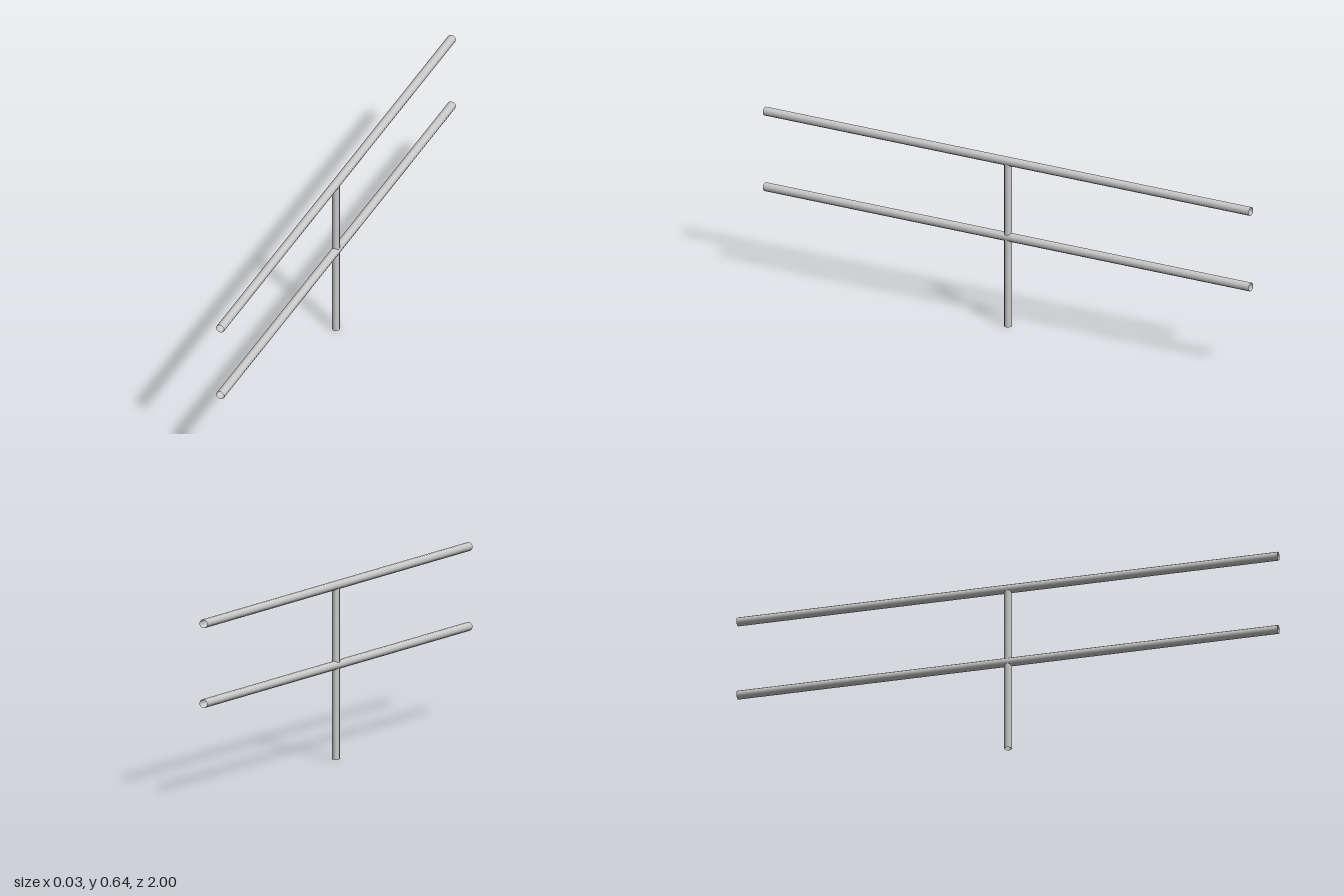
import * as THREE from 'three';

const material = new THREE.MeshStandardMaterial({ color: 0xcccccc, side: THREE.DoubleSide });

// Open-ended pipe standing along y, centred on the origin
function pipe(name, radius, length, sides) {
  const geometry = new THREE.CylinderGeometry(radius, radius, length, sides, 1, true);
  geometry.rotateY(Math.PI / 2);
  const mesh = new THREE.Mesh(geometry, material);
  mesh.name = name;
  return mesh;
}

export function createModel() {
  const model = new THREE.Group();
  model.name = 'railing';

  // Upright post, ending on the axis of the top rail
  const postHeight = 0.626;
  const post = pipe('post', 0.0138, postHeight, 10);
  post.position.y = postHeight / 2;
  model.add(post);

  // Two long horizontal rails running front to back
  for (const [name, y] of [['topRail', 0.626], ['middleRail', 0.339]]) {
    const rail = pipe(name, 0.016, 2, 10);
    rail.rotation.x = Math.PI / 2;
    rail.position.y = y;
    model.add(rail);
  }

  return model;
}
